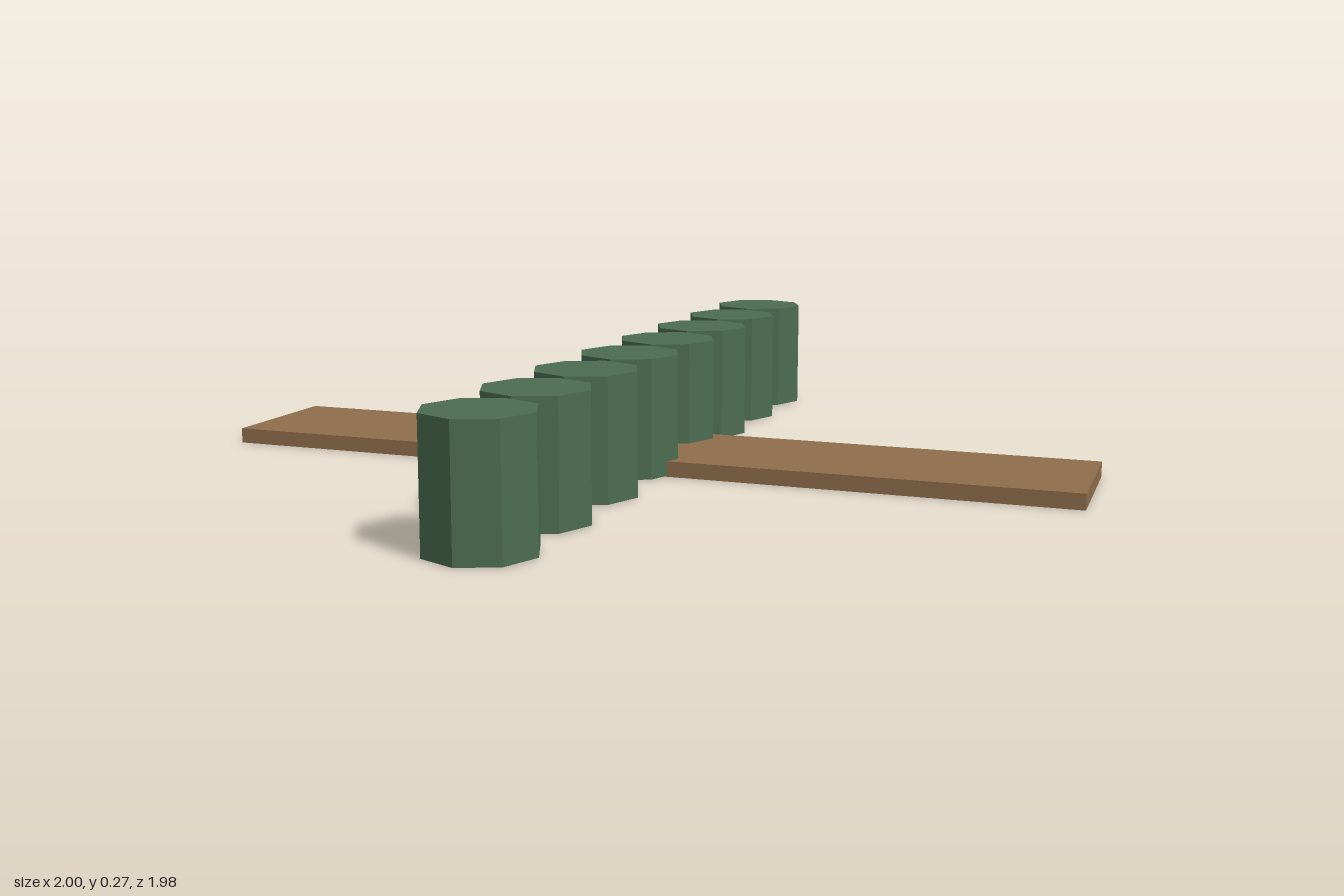
import * as THREE from 'three';

const BARRELS = 8;
const SPACING = 0.25;
const RADIUS = 0.115;
const HEIGHT = 0.266;
const LIFT = 0.002; // keeps the barrel bases clear of the plank's underside

export function createModel() {
  const model = new THREE.Group();
  model.name = 'barrelBridge';

  const green = new THREE.MeshStandardMaterial({ color: 0x4b6c50, flatShading: true });
  const brown = new THREE.MeshStandardMaterial({ color: 0x8f6e4b, flatShading: true });

  // Row of octagonal barrels from back to front
  const barrels = new THREE.Group();
  barrels.name = 'barrels';
  const barrelGeometry = new THREE.CylinderGeometry(RADIUS, RADIUS, HEIGHT, 8);
  for (let i = 0; i < BARRELS; i++) {
    const barrel = new THREE.Mesh(barrelGeometry, green);
    barrel.name = `barrel${i + 1}`;
    barrel.position.set(0, LIFT + HEIGHT / 2, (i - (BARRELS - 1) / 2) * SPACING);
    barrels.add(barrel);
  }
  model.add(barrels);

  // Long flat plank crossing under the row
  const plank = new THREE.Mesh(new THREE.BoxGeometry(2, 0.035, 0.332), brown);
  plank.name = 'plank';
  plank.position.set(0, 0.0175, -0.008);
  model.add(plank);

  return model;
}
